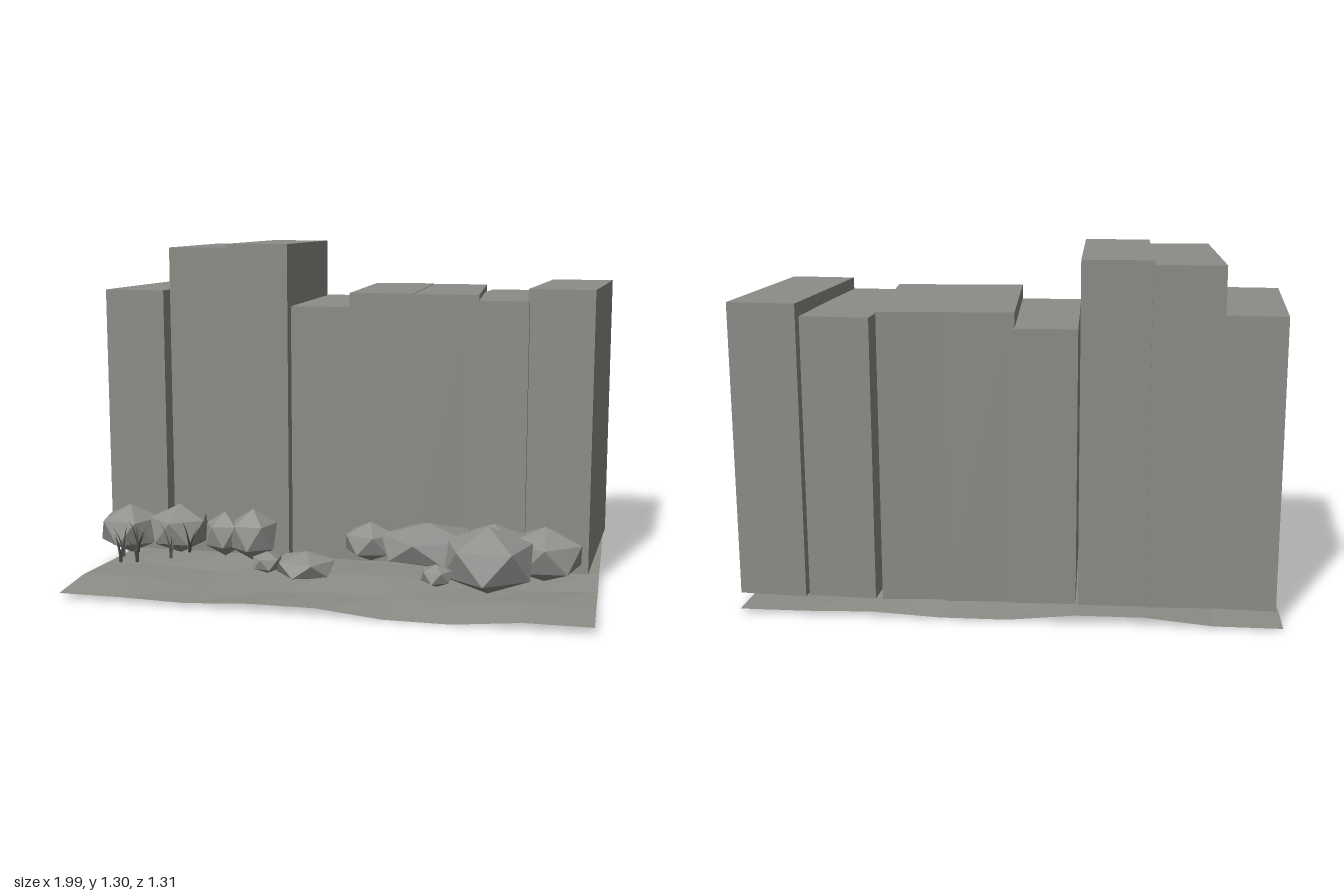
import * as THREE from 'three';

const mat = (name, color, extra = {}) => {
  const m = new THREE.MeshStandardMaterial({ color, flatShading: true, ...extra });
  m.name = name;
  return m;
};

export function createModel() {
  const group = new THREE.Group();
  const stone = mat('cliff stone', 0x8c8c87);
  const boulder = mat('boulder stone', 0x90918d);
  const soil = mat('ground stone', 0x8e8e89, { side: THREE.DoubleSide });
  const blade = mat('dry grass', 0x50544e, { side: THREE.DoubleSide });

  const add = (name, geometry, material, parent = group) => {
    const mesh = new THREE.Mesh(geometry, material);
    mesh.name = name;
    parent.add(mesh);
    return mesh;
  };

  // Gently uneven ground sheet
  const ground = new THREE.PlaneGeometry(1.97, 1.31, 8, 6).rotateX(-Math.PI / 2);
  const p = ground.attributes.position;
  for (let i = 0; i < p.count; i++) {
    const x = p.getX(i), z = p.getZ(i);
    p.setY(i, 0.021 + 0.011 * Math.sin(x * 7.3 + z * 3.1) + 0.009 * Math.sin(z * 9.7 - x * 4.2));
  }
  ground.computeBoundingBox();
  ground.translate(0, -ground.boundingBox.min.y, 0);
  add('ground', ground, soil);

  // Cliff slabs: centre x, top height, sideways lean of the front end
  const base = 0.058;
  [
    [-0.855, 1.12, -0.04], [-0.61, 1.29, 0.025], [-0.372, 1.305, 0.012], [-0.11, 1.065, 0.02],
    [0.118, 1.12, 0.035], [0.36, 1.118, 0.05], [0.593, 1.097, -0.035], [0.845, 1.143, -0.05],
  ].forEach(([x, top, lean], i) => {
    const slab = add('cliffSlab' + (i + 1), new THREE.BoxGeometry(0.25, top - base, 0.73), stone);
    slab.position.set(x, (top + base) / 2, -0.252);
    slab.rotation.y = Math.asin(lean / 0.73);
  });

  // Faceted boulders: x, y, z, half width, half height, turn
  const rock = new THREE.IcosahedronGeometry(1, 0).rotateZ(-Math.atan(2 / (1 + Math.sqrt(5))));
  [
    [-0.875, 0.165, 0.21, 0.118, 0.1, 0.2],
    [-0.67, 0.172, 0.195, 0.118, 0.1, 0.9],
    [-0.48, 0.16, 0.2, 0.078, 0.09, 0.5],
    [-0.36, 0.165, 0.21, 0.092, 0.105, 1.57],
    [-0.23, 0.13, 0.46, 0.055, 0.042, 0.7],
    [-0.06, 0.152, 0.545, 0.108, 0.053, 0.1],
    [0.115, 0.165, 0.21, 0.1, 0.077, 1.2],
    [0.355, 0.183, 0.28, 0.18, 0.085, 0.75],
    [0.42, 0.14, 0.535, 0.055, 0.042, 1.4],
    [0.59, 0.172, 0.405, 0.165, 0.127, 1.57],
    [0.59, 0.165, 0.19, 0.13, 0.09, 0.4],
    [0.785, 0.16, 0.235, 0.142, 0.105, 1.0],
  ].forEach(([x, y, z, r, h, turn], i) => {
    const g = rock.clone().rotateY(turn).scale(r / 0.88, h, r / 0.88);
    add('boulder' + (i + 1), g, boulder).position.set(x, y, z);
  });

  // Grass tufts of thin bent blades
  const leaf = new THREE.ConeGeometry(0.007, 0.13, 3, 3, true).translate(0, 0.065, 0);
  const q = leaf.attributes.position;
  for (let i = 0; i < q.count; i++) q.setX(i, q.getX(i) + 2.4 * q.getY(i) ** 2);
  leaf.computeVertexNormals();
  [[-0.8, 0.33], [-0.83, 0.4], [-0.81, 0.48], [-0.75, 0.465], [-0.64, 0.385], [-0.6, 0.29]].forEach(([x, z], i) => {
    const tuft = new THREE.Group();
    tuft.name = 'grassTuft' + (i + 1);
    tuft.position.set(x, 0.1, z);
    for (let k = 0; k < 3; k++) {
      const b = add('grassBlade', leaf, blade, tuft);
      b.rotation.y = i * 1.3 + (k * Math.PI * 2) / 3;
      b.scale.y = 0.8 + 0.12 * k;
    }
    group.add(tuft);
  });

  return group;
}
